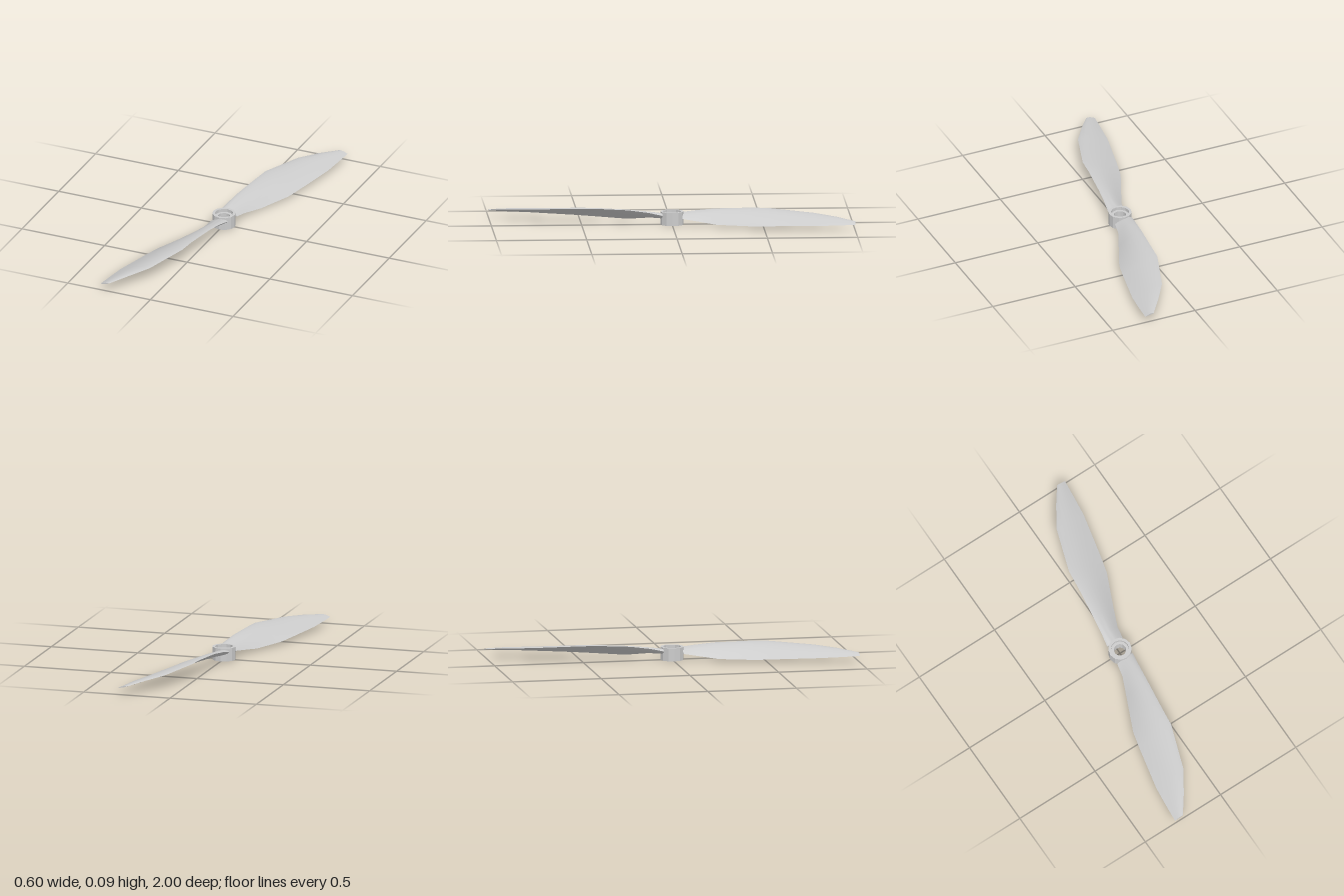
import * as THREE from 'three';
import { toCreasedNormals } from 'three/addons/utils/BufferGeometryUtils.js';

const material = new THREE.MeshStandardMaterial({ color: 0xcccccc });

// Blade stations: z, leading x, y, trailing x, y, upper bulge, lower bulge
const STATIONS = [
  [-0.055, -0.048, 0.055, 0.055, 0.038, 0.016, 0.014],
  [-0.13, -0.035, 0.07, 0.07, 0.027, 0.017, 0.01],
  [-0.24, -0.02, 0.083, 0.117, 0.014, 0.018, 0.004],
  [-0.43, 0.005, 0.09, 0.2, 0.017, 0.017, -0.002],
  [-0.53, 0.015, 0.089, 0.225, 0.021, 0.016, -0.002],
  [-0.78, 0.1, 0.073, 0.28, 0.029, 0.013, -0.001],
  [-0.9, 0.177, 0.063, 0.293, 0.033, 0.01, 0],
  [-1, 0.25, 0.049, 0.302, 0.037, 0.005, 0.002],
];
const N = 10; // chord divisions per face

// Closed airfoil section: over the top to the trailing edge, back underneath
function section([z, lx, ly, tx, ty, up, low]) {
  const length = Math.hypot(tx - lx, ty - ly);
  const nx = (ly - ty) / length, ny = (tx - lx) / length;
  const points = [];
  for (let i = 0; i < 2 * N; i++) {
    const upper = i <= N;
    const s = upper ? i / N : 2 - i / N;
    const t = (1 - Math.cos(Math.PI * s)) / 2;
    const d = Math.sin(Math.PI * Math.pow(t, 0.75)) * (upper ? up : -low);
    points.push([lx + (tx - lx) * t + nx * d, ly + (ty - ly) * t + ny * d, z]);
  }
  return points;
}

function bladeGeometry() {
  const ring = 2 * N, index = [];
  const positions = STATIONS.flatMap(section).flat();
  for (let k = 0; k < STATIONS.length - 1; k++) {
    for (let i = 0; i < ring; i++) {
      const a = k * ring + i, b = k * ring + (i + 1) % ring;
      index.push(a, b, a + ring, b, b + ring, a + ring);
    }
  }
  // Flat caps at root and tip
  const tip = (STATIONS.length - 1) * ring;
  for (let i = 1; i < ring - 1; i++) {
    index.push(0, i + 1, i, tip, tip + i, tip + i + 1);
  }
  const geometry = new THREE.BufferGeometry();
  geometry.setAttribute('position', new THREE.Float32BufferAttribute(positions, 3));
  geometry.setIndex(index);
  return toCreasedNormals(geometry, 0.7);
}

// Hub ring with a stepped bore
function hubGeometry() {
  const profile = [
    [0.034, 0], [0.065, 0], [0.065, 0.073], [0.05, 0.073],
    [0.05, 0.055], [0.034, 0.055], [0.034, 0],
  ].map(([r, y]) => new THREE.Vector2(r, y));
  return toCreasedNormals(new THREE.LatheGeometry(profile, 12), 0.4);
}

export function createModel() {
  const model = new THREE.Group();
  model.name = 'propeller';

  const hub = new THREE.Mesh(hubGeometry(), material);
  hub.name = 'hub';
  model.add(hub);

  // Two blades, half a turn apart
  const geometry = bladeGeometry();
  ['backBlade', 'frontBlade'].forEach((name, i) => {
    const blade = new THREE.Mesh(geometry, material);
    blade.name = name;
    blade.rotation.y = i * Math.PI;
    model.add(blade);
  });
  return model;
}
